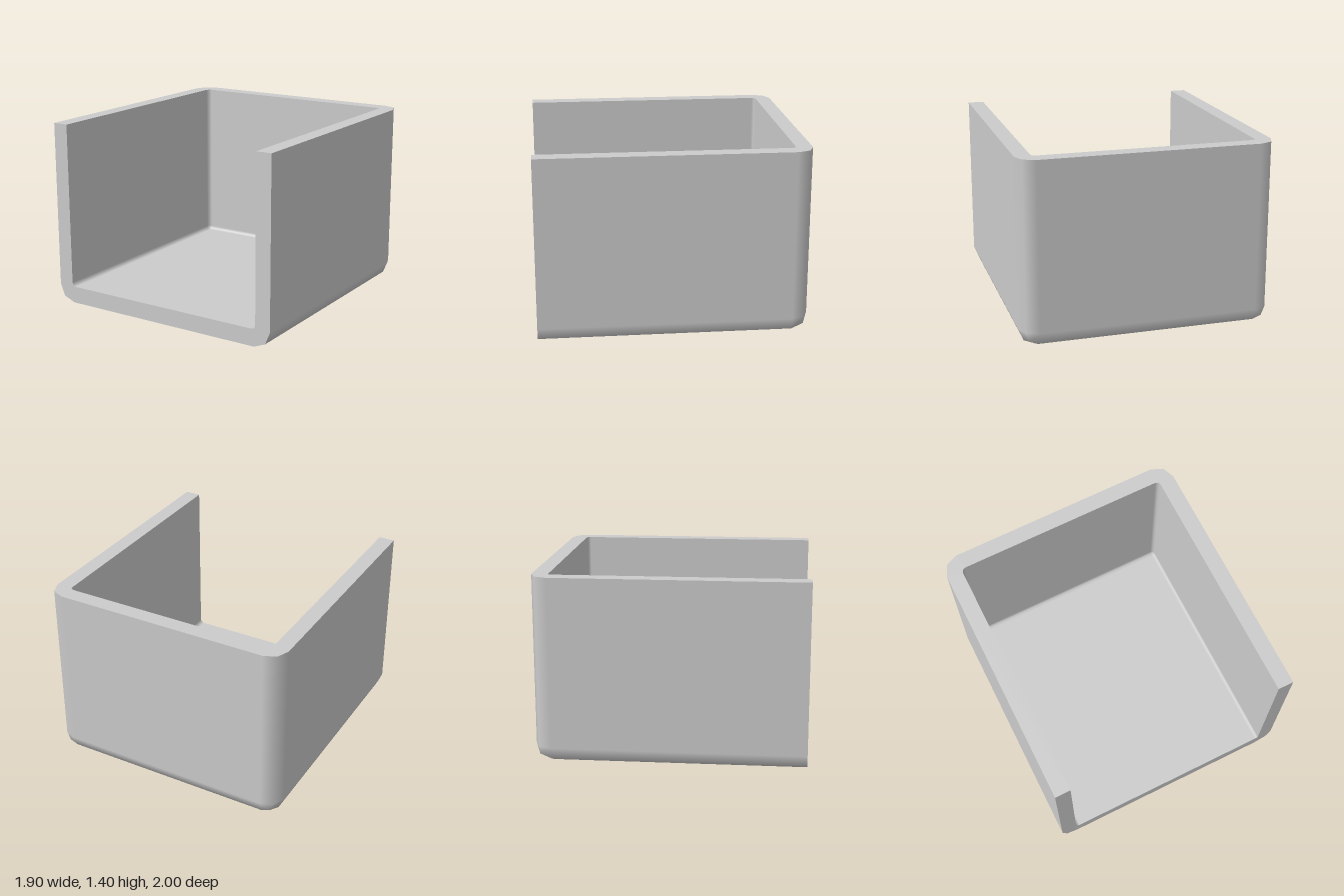
import * as THREE from 'three';

const TOP = 1.4, FRONT = 1;
const OUTER = { half: 0.95, floor: 0, back: -1, r: 0.13, segs: 2 };
const INNER = { half: 0.83, floor: 0.13, back: -0.88, r: 0.03, segs: 2 };

// Directions round the two corners of a U, from the right side down and over to the left
function uDirections(segs) {
  const dirs = [];
  for (const side of [1, -1]) {
    for (let i = 0; i <= segs; i++) {
      const t = (side > 0 ? i : segs - i) / segs * Math.PI / 2;
      dirs.push([side * Math.cos(t), -Math.sin(t), side]);
    }
  }
  return [[1, 0, 1, true], ...dirs, [-1, 0, -1, true]];
}

// U outline with rounded corners and an open end
function uPoints({ half, r, segs }, base, end, radius = r) {
  return uDirections(segs).map(([dx, dy, side, isEnd]) => new THREE.Vector2(
    side * (half - r) + dx * radius, isEnd ? end : base + r + dy * radius));
}

// Floor, two sides and back as one skin, with rounded lower and rear edges
function skin(size, inward) {
  const { floor, back, r, segs } = size;
  const dirs = uDirections(segs), n = dirs.length, flip = inward ? -1 : 1;
  const rings = [[FRONT, 0]];
  for (let i = 0; i <= segs; i++) {
    const a = i / segs * Math.PI / 2;
    rings.push([back + r * (1 - Math.sin(a)), a]);
  }
  const pos = [], nor = [], idx = [];
  const tri = (a, b, c) => idx.push(...(inward ? [a, c, b] : [a, b, c]));
  rings.forEach(([z, a], i) => {
    uPoints(size, floor, TOP, r * Math.cos(a)).forEach((p, j) => {
      pos.push(p.x, p.y, z);
      nor.push(flip * dirs[j][0] * Math.cos(a), flip * dirs[j][1] * Math.cos(a), -flip * Math.sin(a));
      if (i < rings.length - 1 && j < n - 1) {
        const k = i * n + j;
        tri(k, k + 1, k + n);
        tri(k + 1, k + n + 1, k + n);
      }
    });
  });
  // flat rear panel
  const k = (rings.length - 1) * n;
  tri(k, k + 1, k + n - 2);
  tri(k, k + n - 2, k + n - 1);
  const geo = new THREE.BufferGeometry();
  geo.setAttribute('position', new THREE.Float32BufferAttribute(pos, 3));
  geo.setAttribute('normal', new THREE.Float32BufferAttribute(nor, 3));
  geo.setIndex(idx);
  return geo;
}

// Flat U-shaped band joining the outer and inner skins
function band(baseKey, end) {
  const outer = uPoints(OUTER, OUTER[baseKey], end);
  const inner = uPoints(INNER, INNER[baseKey], end).reverse();
  return [...outer, ...inner];
}

export function createModel() {
  const group = new THREE.Group();
  group.name = 'openBin';
  const material = new THREE.MeshStandardMaterial({ color: 0xcccccc, side: THREE.DoubleSide });
  const add = (name, geo) => {
    const mesh = new THREE.Mesh(geo, material);
    mesh.name = name;
    group.add(mesh);
    return mesh;
  };

  add('outerShell', skin(OUTER, false));
  add('innerShell', skin(INNER, true));

  // front rim round the open face
  add('frontRim', new THREE.ShapeGeometry(new THREE.Shape(band('floor', TOP)))).position.z = FRONT;

  // top rim along the sides and back
  const topPoints = band('back', FRONT).map((p) => new THREE.Vector2(p.x, -p.y));
  const topGeo = new THREE.ShapeGeometry(new THREE.Shape(topPoints)).rotateX(-Math.PI / 2);
  add('topRim', topGeo).position.y = TOP;

  return group;
}
